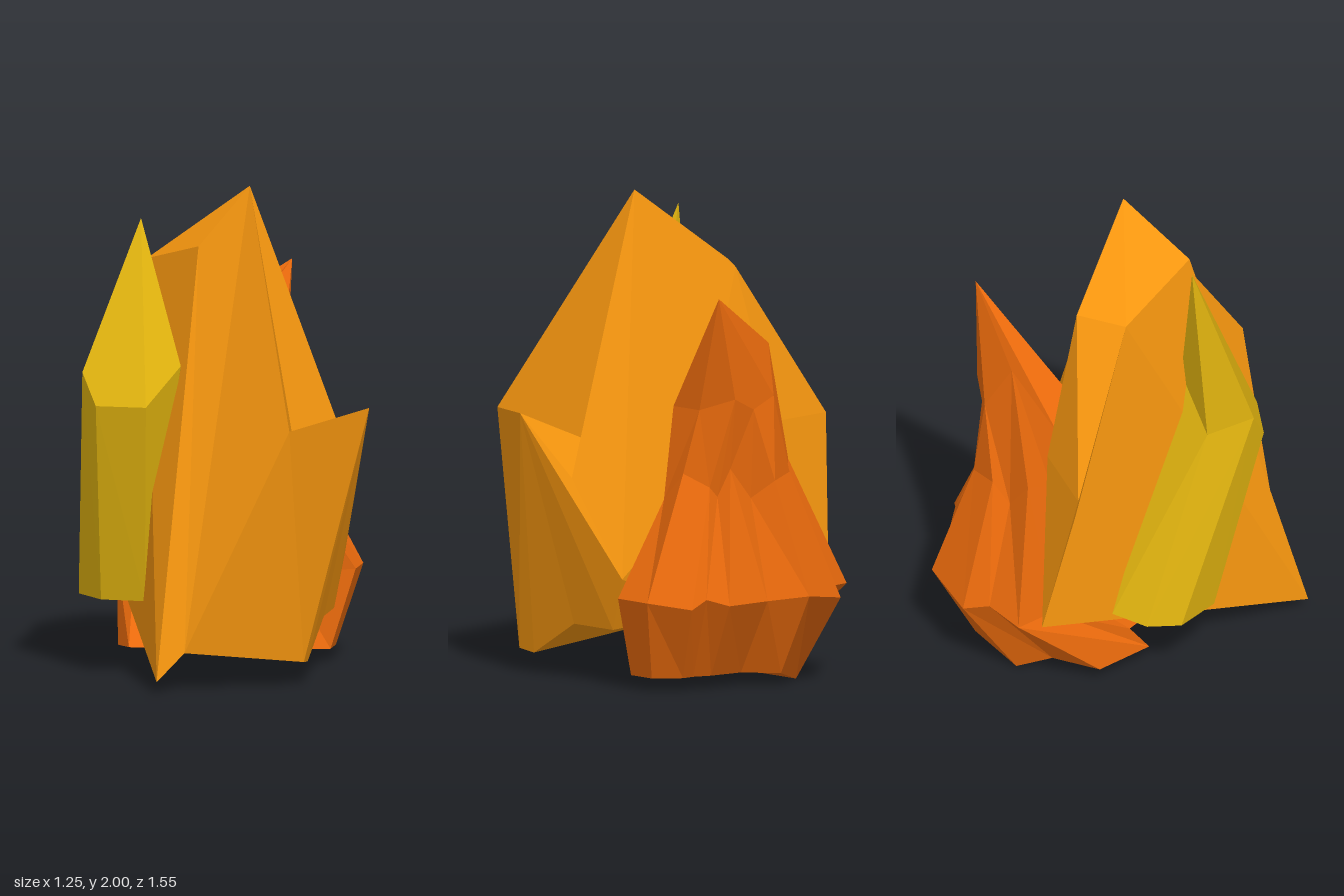
import * as THREE from 'three';
import { ConvexGeometry } from 'three/addons/geometries/ConvexGeometry.js';

const material = (color) => new THREE.MeshStandardMaterial({ color, flatShading: true });

function hull(name, mat, corners) {
  const geometry = new ConvexGeometry(corners.map((c) => new THREE.Vector3(...c)));
  const mesh = new THREE.Mesh(geometry, mat);
  mesh.name = name;
  return mesh;
}

// Joins rings of points from bottom to top, with a point closing each end
function loft(name, mat, rings, bottom, top) {
  const out = [];
  const n = rings[0].length;
  for (let i = 0; i < n; i++) {
    const j = (i + 1) % n;
    out.push(rings[0][i], rings[0][j], bottom);
    for (let k = 0; k + 1 < rings.length; k++) {
      const [a, b, c, d] = [rings[k][i], rings[k][j], rings[k + 1][j], rings[k + 1][i]];
      out.push(a, d, c, a, c, b);
    }
    const last = rings[rings.length - 1];
    out.push(last[i], top, last[j]);
  }
  const geometry = new THREE.BufferGeometry();
  geometry.setAttribute('position', new THREE.Float32BufferAttribute(out.flat(), 3));
  geometry.computeVertexNormals();
  const mesh = new THREE.Mesh(geometry, mat);
  mesh.name = name;
  return mesh;
}

function createMainCrystal() {
  const mat = material(0xf6960f);
  const group = new THREE.Group();
  group.name = 'mainCrystal';

  // Corners shared by the fused blocks
  const apex = [0.11, 2, 0.06];
  const backTop = [-0.21, 1.68, -0.2];
  const leftTop = [-0.33, 1.68, -0.02];
  const lowLeft = [-0.53, 0.36, -0.41];
  const notch = [0.29, 0.98, 0.17];
  const frontShoulder = [0.37, 1.07, 0.61];
  const outerShoulder = [0.625, 1.115, 0.18];
  const sideShoulder = [0.52, 0.86, -0.02];
  const foot = [-0.05, 0.16, 0.69];
  const baseFront = [0.4, 0.1, 0.44];
  const baseMid = [0.4, 0.09, 0.35];
  const baseSide = [0.42, 0.24, 0.08];
  const baseBack = [0.42, 0.24, -0.16];
  const lowBack = [0.45, 0.46, -0.25];
  const back = [0.08, 0.75, -0.25];
  const under = [0, 0.28, -0.2];

  // Front ridge running down to the pointed toe
  group.add(hull('frontRidge', mat, [
    apex, [-0.06, 1.78, 0.3], leftTop, backTop, lowLeft, [-0.15, 0.05, 0.775], foot, back, under,
  ]));
  // Rear corner on the other side
  group.add(hull('rearCorner', mat, [
    apex, leftTop, backTop, [-0.63, 1.05, -0.28], lowLeft, [-0.3, 1.05, -0.34], back, under,
  ]));
  // Broad front face
  group.add(hull('frontFace', mat, [
    apex, foot, frontShoulder, notch, baseFront, baseMid, baseSide, back, under,
  ]));
  // Rear flank
  group.add(hull('rearFlank', mat, [
    apex, notch, sideShoulder, back, lowBack, baseBack, baseSide, under,
  ]));
  // Shoulder block, front and rear halves
  group.add(hull('shoulderFront', mat, [
    frontShoulder, outerShoulder, notch, sideShoulder, foot, baseFront, baseMid, baseSide,
  ]));
  group.add(hull('shoulderRear', mat, [
    outerShoulder, notch, sideShoulder, baseSide, baseBack, lowBack,
  ]));
  return group;
}

function createYellowCrystal() {
  const mat = material(0xe4b60f);
  const group = new THREE.Group();
  group.name = 'yellowCrystal';

  // Shoulder ring
  const left = [-0.51, 1.275, 0.475];
  const frontLeft = [-0.445, 1.145, 0.53];
  const frontRight = [-0.235, 1.145, 0.545];
  const right = [-0.115, 1.3, 0.405];
  const backRight = [-0.185, 1.3, 0.24];
  const back = [-0.42, 1.15, 0.3];
  // Flat base
  const baseBack = [-0.445, 0.32, -0.1];
  const baseFront = [-0.46, 0.32, 0.32];
  const baseRight = [-0.275, 0.32, 0.34];

  group.add(hull('tip', mat, [
    [-0.305, 1.885, 0.26], left, frontLeft, frontRight, right, backRight, back,
  ]));
  group.add(hull('leftShaft', mat, [
    left, frontLeft, frontRight, back, [-0.58, 0.32, 0.16], [-0.56, 0.32, 0.02],
    baseBack, baseFront, baseRight,
  ]));
  group.add(hull('rightShaft', mat, [
    frontLeft, frontRight, right, backRight, back, baseBack, baseFront, baseRight, [-0.28, 0.32, 0.1],
  ]));
  return group;
}

function createRearCrystal() {
  // Jagged outline at the widest level, as x, z
  const outline = [
    [-0.54, -0.51], [-0.39, -0.6], [-0.34, -0.7], [-0.1, -0.78], [0.03, -0.67], [0.21, -0.64],
    [0.3, -0.6], [0.37, -0.59], [0.49, -0.45], [0.49, -0.27], [0.2, -0.27], [0.14, -0.32],
    [-0.08, -0.26], [-0.21, -0.27], [-0.27, -0.34], [-0.44, -0.35],
  ];
  // Base reaches forward on one side, under the main crystal, and rises slightly there
  const base = outline.map(([x, z]) => {
    const forward = -0.6 + (z + 0.78) * (1.15 - 0.9 * x);
    return [x * 0.84 - 0.02, 0.06 + 0.1 * Math.max(0, forward + 0.23), forward];
  });
  base[2] = [-0.3, 0.005, -0.47]; // small spike underneath
  const wide = outline.map(([x, z], i) => [x, 0.38 + 0.02 * Math.sin(i * 2.4), z]);
  const waist = outline.map(([x, z], i) => [
    -0.02 + x * 0.52, 0.84 + 0.07 * Math.sin(i * 2.4 + 2), -0.25 + (z + 0.25) * 0.66,
  ]);
  // Eight corners below the tip, each closing two columns of the outline
  const corners = [
    [-0.16, 1.4, -0.46], [-0.1, 1.2, -0.56], [0, 1.15, -0.55], [0.1, 1.2, -0.55],
    [0.18, 1.15, -0.42], [0.18, 1.15, -0.26], [-0.1, 1.2, -0.205], [-0.23, 1.1, -0.28],
  ];
  const neck = outline.map((_, i) => corners[Math.floor(i / 2)]);
  return loft('rearCrystal', material(0xe8690c), [base, wide, waist, neck],
    [-0.05, 0.06, -0.3], [0.18, 1.62, -0.54]);
}

export function createModel() {
  const model = new THREE.Group();
  model.name = 'crystalCluster';
  model.add(createMainCrystal(), createYellowCrystal(), createRearCrystal());
  return model;
}
